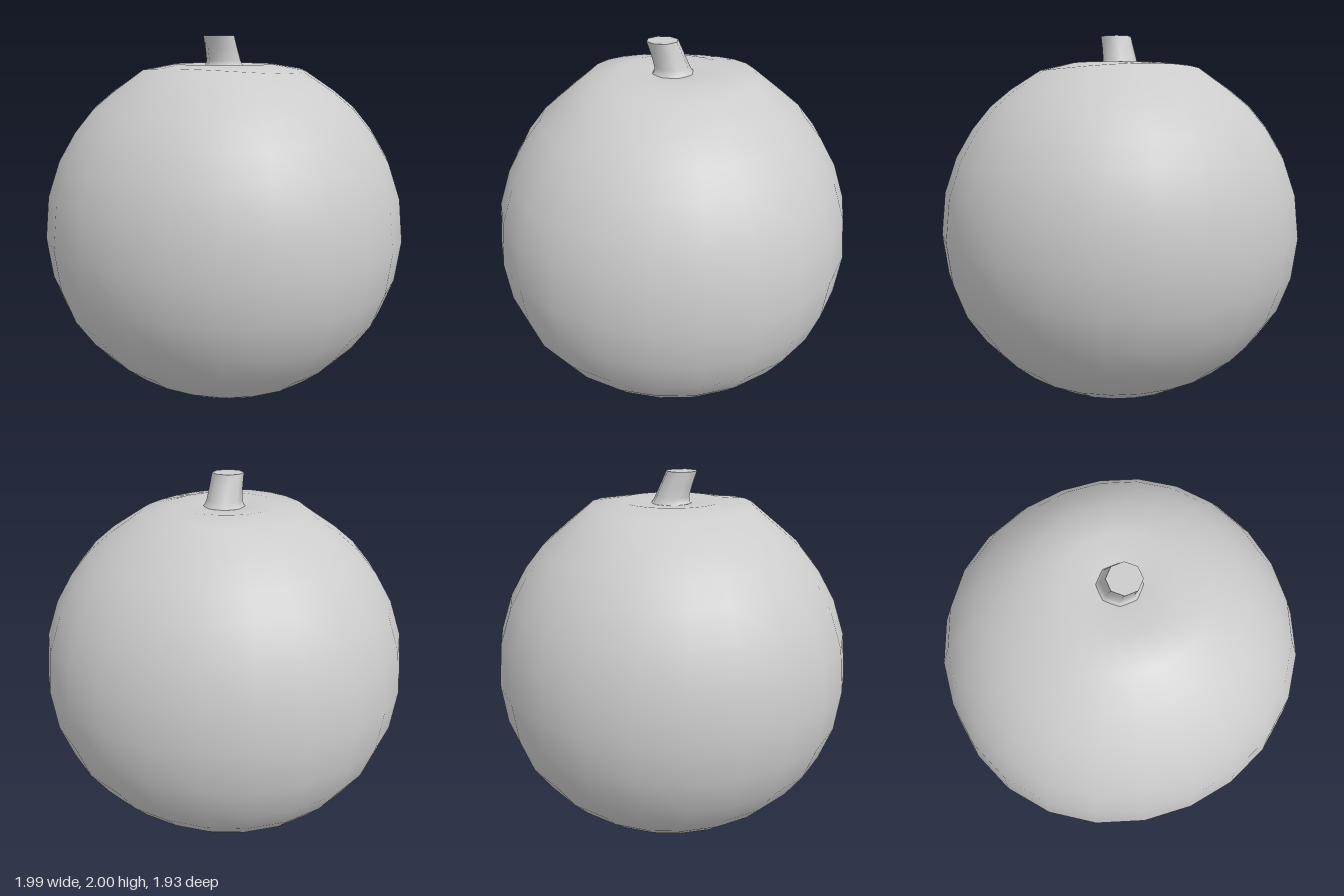
import * as THREE from 'three';
import { mergeVertices } from 'three/addons/utils/BufferGeometryUtils.js';

const material = new THREE.MeshStandardMaterial({ color: 0xcccccc });

// Moves every vertex by a rule, then welds the seam and smooths the normals
function reshape(geometry, rule) {
  const pos = geometry.attributes.position;
  const v = new THREE.Vector3();
  for (let i = 0; i < pos.count; i++) {
    rule(v.fromBufferAttribute(pos, i));
    pos.setXYZ(i, v.x, v.y, v.z);
  }
  geometry.deleteAttribute('uv');
  const welded = mergeVertices(geometry, 1e-4);
  welded.computeVertexNormals();
  return welded;
}

// Round fruit body with a dimple at each pole
function createBody() {
  const profile = [
    [0, 0.045], [0.06, 0.035], [0.13, 0.01], [0.26, 0.025], [0.44, 0.08],
    [0.6, 0.175], [0.71, 0.27], [0.8, 0.37], [0.9, 0.52], [0.967, 0.71],
    [0.993, 0.93], [0.967, 1.16], [0.9, 1.35], [0.81, 1.5], [0.71, 1.62],
    [0.6, 1.71], [0.44, 1.81], [0.27, 1.852], [0.12, 1.84], [0, 1.82],
  ].map(([r, y]) => new THREE.Vector2(r, y));

  const lathe = new THREE.LatheGeometry(profile, 24);
  lathe.deleteAttribute('normal');
  const geometry = reshape(lathe, (v) => {
    const r = Math.hypot(v.x, v.z);
    const angle = Math.atan2(v.x, v.z);
    // Slightly squared outline, a little shallower front to back
    const swell = 1 + 0.007 * (1 - Math.cos(4 * angle));
    // Fuller shoulders at the front and back of the crown
    if (v.y > 1.7 && r > 0.4 && r < 0.5) v.y += 0.028 * Math.cos(angle) ** 2;
    // Lowest point sits just in front of the bottom dimple
    if (v.y < 0.02) v.y -= 0.01 * Math.max(0, Math.cos(angle));
    v.x *= swell;
    v.z *= swell * 0.972;
  });
  const body = new THREE.Mesh(geometry, material);
  body.name = 'body';
  return body;
}

// Short eight-sided stem, flared at the foot and leaning forward
function createStem() {
  // Rings from bottom to top: height, radius, forward offset
  const rings = [
    [1.81, 0.14, 0], [1.845, 0.103, 0], [1.87, 0.093, 0.004],
    [1.93, 0.087, 0.025], [2, 0.083, 0.053],
  ];
  const last = rings.length - 1;
  const cylinder = new THREE.CylinderGeometry(1, 1, last, 8, last);
  cylinder.rotateY(Math.PI / 8);
  const geometry = reshape(cylinder, (v) => {
    const [y, radius, forward] = rings[Math.round(v.y + last / 2)];
    v.set(v.x * radius, y, v.z * radius + forward);
  });
  const stem = new THREE.Mesh(geometry, material);
  stem.name = 'stem';
  return stem;
}

export function createModel() {
  const fruit = new THREE.Group();
  fruit.name = 'fruit';
  fruit.add(createBody(), createStem());
  return fruit;
}
